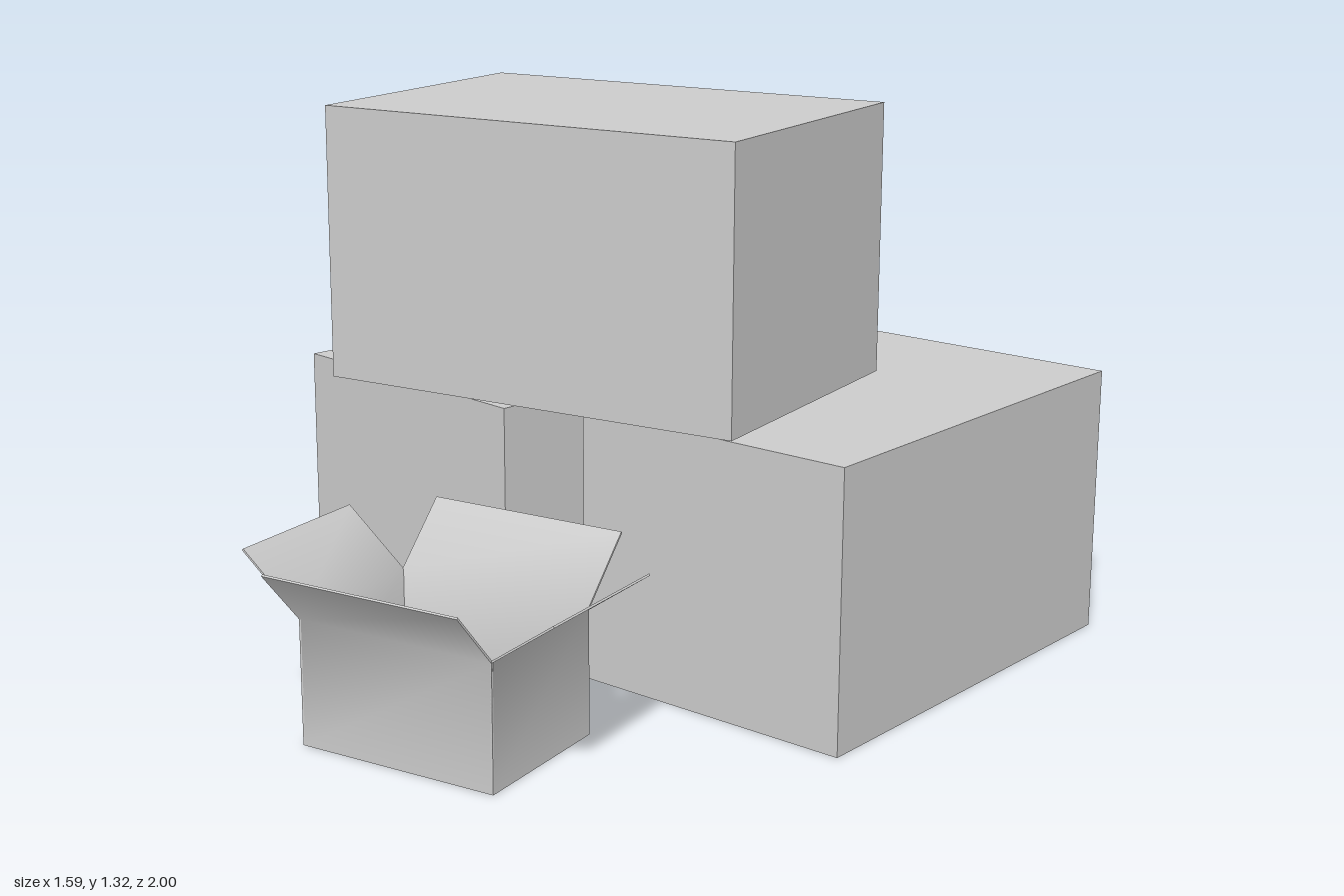
import * as THREE from 'three';
import { toCreasedNormals } from 'three/addons/utils/BufferGeometryUtils.js';

const material = new THREE.MeshStandardMaterial({ color: 0xcccccc, side: THREE.DoubleSide });

function addBox(parent, name, [w, h, d], [x, y, z], turn = 0) {
  const mesh = new THREE.Mesh(new THREE.BoxGeometry(w, h, d), material);
  mesh.name = name;
  mesh.position.set(x, y + h / 2, z);
  mesh.rotation.y = turn;
  parent.add(mesh);
}

// One wall with its flap folded outwards: a thin bent section drawn out along the wall
function wallWithFlap(reach, width, height, run, rise) {
  const t = 0.005;
  const length = Math.hypot(run, rise);
  const nx = -rise / length * t, ny = run / length * t;
  const shape = new THREE.Shape([
    [reach, 0], [reach, height], [reach + run, height + rise],
    [reach + run + nx, height + rise + ny], [reach - t, height + t * 0.45], [reach - t, 0],
  ].map(([x, y]) => new THREE.Vector2(x, y)));
  const geometry = new THREE.ExtrudeGeometry(shape, { depth: width, bevelEnabled: false });
  geometry.translate(0, 0, -width / 2);
  return toCreasedNormals(geometry, 1.1);
}

export function createModel() {
  const model = new THREE.Group();
  model.name = 'cardboardBoxes';

  // Closed boxes: two on the ground, one stacked across them
  const tilt = THREE.MathUtils.degToRad(15);
  addBox(model, 'lowerRightBox', [0.733, 0.66, 1.093], [-0.43, 0, -0.254]);
  addBox(model, 'lowerLeftBox', [0.733, 0.66, 1.093], [0.371, 0, -0.42], THREE.MathUtils.degToRad(6));
  addBox(model, 'upperBox', [1.093, 0.655, 0.733], [-0.11, 0.67, -0.075], tilt);

  // Small open box
  const open = new THREE.Group();
  open.name = 'openBox';
  open.position.set(0.13, 0, 0.637);
  open.rotation.y = tilt;
  model.add(open);

  const width = 0.507, depth = 0.38, height = 0.295;
  addBox(open, 'openBoxFloor', [width - 0.002, 0.005, depth - 0.002], [0, 0, 0]);

  // name, direction, distance from centre, wall width, flap run, flap rise
  const sides = [
    ['left', 0, width / 2, depth, 0.156, 0.108],
    ['back', Math.PI / 2, depth / 2, width, 0.14, 0.139],
    ['right', Math.PI, width / 2, depth, 0.154, 0.131],
    ['front', -Math.PI / 2, depth / 2, width, 0.12, 0.134],
  ];
  for (const [name, turn, reach, span, run, rise] of sides) {
    const wall = new THREE.Mesh(wallWithFlap(reach, span, height, run, rise), material);
    wall.name = name + 'WallAndFlap';
    wall.rotation.y = turn;
    open.add(wall);
  }
  return model;
}
